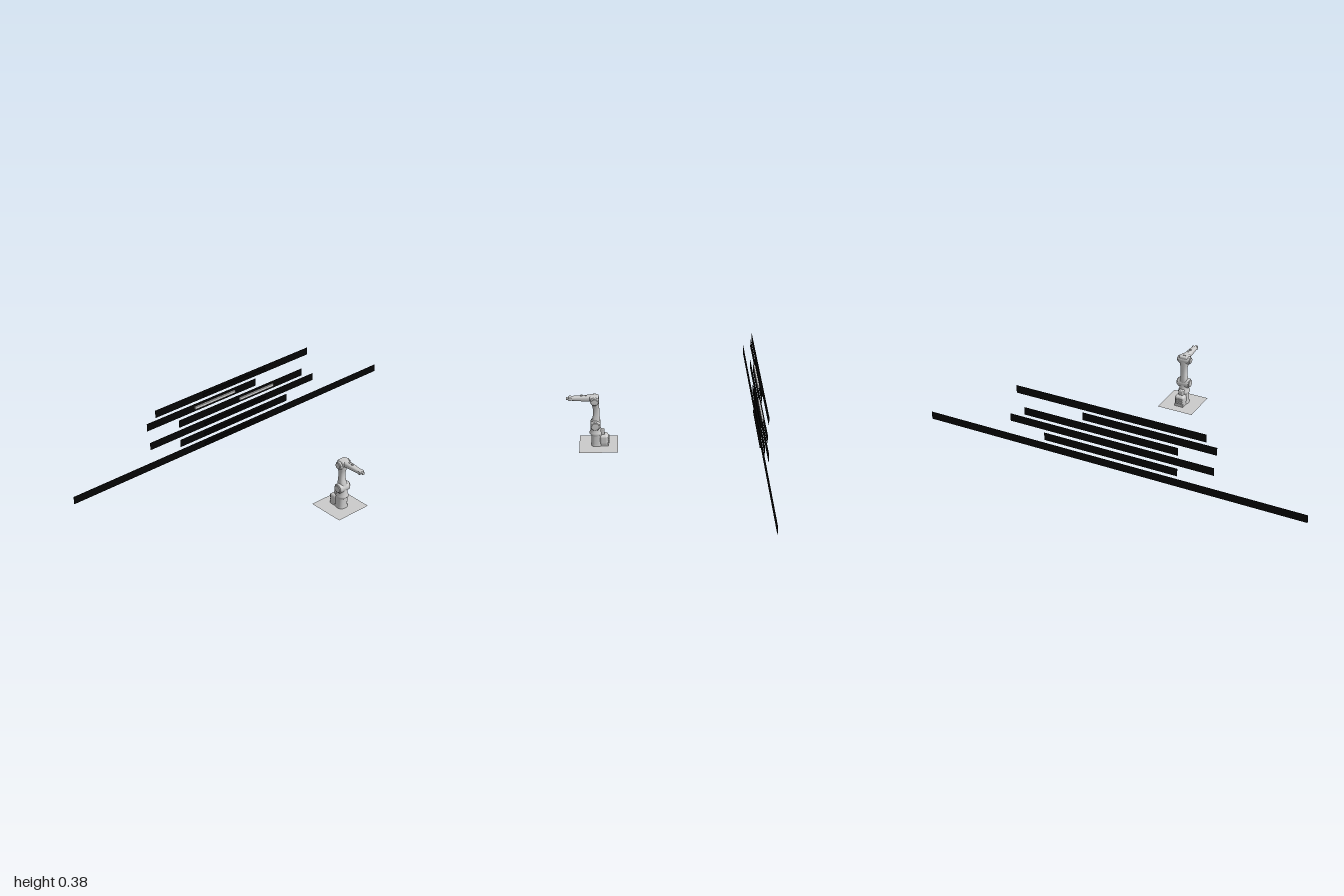
import * as THREE from 'three';
import { RoundedBoxGeometry } from 'three/addons/geometries/RoundedBoxGeometry.js';

const grey = new THREE.MeshStandardMaterial({ color: 0xcccccc });
const greySheet = new THREE.MeshStandardMaterial({ color: 0xcccccc, side: THREE.DoubleSide });
const black = new THREE.MeshStandardMaterial({ color: 0x050505 });

function add(parent, name, geometry, x, y, z, material = grey) {
  const mesh = new THREE.Mesh(geometry, material);
  mesh.name = name;
  mesh.position.set(x, y, z);
  parent.add(mesh);
  return mesh;
}

// Closed tube of rounded-square sections [height, shift, halfWidth, halfDepth] stacked along y.
function loft(rows, power = 0.75, sides = 28) {
  const pos = [], index = [];
  const first = rows[0], last = rows[rows.length - 1];
  const capped = [[first[0], first[1], 0, 0], first, ...rows, last, [last[0], last[1], 0, 0]];
  const bend = (v) => Math.sign(v) * Math.abs(v) ** power;
  capped.forEach(([y, shift, hw, hd], r) => {
    for (let i = 0; i < sides; i++) {
      const a = (i / sides) * Math.PI * 2;
      pos.push(hw * bend(Math.sin(a)), y, shift + hd * bend(Math.cos(a)));
      // The doubled end rows keep the cap edges sharp.
      if (r === 0 || r === 2 || r === capped.length - 1) {
        if (r !== capped.length - 1) continue;
      }
    }
  });
  for (let r = 0; r < capped.length - 1; r++) {
    if (r === 1 || r === capped.length - 3) continue;
    for (let i = 0; i < sides; i++) {
      const j = (i + 1) % sides;
      const a = r * sides + i, b = r * sides + j, c = a + sides, d = b + sides;
      index.push(a, b, d, a, d, c);
    }
  }
  const g = new THREE.BufferGeometry();
  g.setAttribute('position', new THREE.Float32BufferAttribute(pos, 3));
  g.setIndex(index);
  g.computeVertexNormals();
  return g;
}

// Bevelled drum lying along x.
function drum(radius, halfLength, bevel = 0.004) {
  const p = [[0, -halfLength], [radius - bevel, -halfLength], [radius, bevel - halfLength],
    [radius, halfLength - bevel], [radius - bevel, halfLength], [0, halfLength]];
  return new THREE.LatheGeometry(p.map(([x, y]) => new THREE.Vector2(x, y)), 32).rotateZ(-Math.PI / 2);
}

function makeRobot() {
  const robot = new THREE.Group();
  robot.name = 'robotArm';

  // Pedestal and turret
  add(robot, 'pedestal', loft([[0, 0.327, 0.028, 0.027], [0.008, 0.327, 0.028, 0.027],
    [0.012, 0.327, 0.026, 0.026], [0.058, 0.327, 0.026, 0.026]]), 0, 0, 0);
  add(robot, 'turret', loft([[0.056, 0.329, 0.026, 0.027], [0.064, 0.331, 0.029, 0.031],
    [0.07, 0.331, 0.028, 0.031], [0.08, 0.331, 0.024, 0.026], [0.112, 0.331, 0.021, 0.023]], 0.9), 0, 0, 0);

  // Connector housing at the back
  add(robot, 'rearHousing', new RoundedBoxGeometry(0.052, 0.054, 0.044, 4, 0.013), 0, 0.032, 0.292);
  add(robot, 'rearFoot', new THREE.BoxGeometry(0.046, 0.012, 0.036), 0, 0.007, 0.288);
  for (const x of [-0.014, 0, 0.014]) {
    for (const y of [0.018, 0.03, 0.042]) {
      add(robot, 'connector', new THREE.CylinderGeometry(0.004, 0.004, 0.012, 12).rotateX(Math.PI / 2), x, y, 0.27);
    }
  }
  add(robot, 'turretMotor', new RoundedBoxGeometry(0.026, 0.028, 0.026, 2, 0.005), 0, 0.07, 0.301);

  // Shoulder
  add(robot, 'shoulder', drum(0.025, 0.031), 0, 0.113, 0.332);
  for (const s of [-1, 1]) add(robot, 'shoulderCap', drum(0.018, 0.003, 0.001), s * 0.033, 0.113, 0.332);

  // Upper arm
  add(robot, 'upperArm', loft([[0.1, 0.332, 0.022, 0.022], [0.125, 0.331, 0.022, 0.023],
    [0.148, 0.328, 0.018, 0.018], [0.17, 0.327, 0.016, 0.0155], [0.19, 0.327, 0.016, 0.015],
    [0.21, 0.329, 0.019, 0.017], [0.228, 0.332, 0.024, 0.019], [0.245, 0.333, 0.024, 0.019]]), 0, 0, 0);

  // Elbow
  add(robot, 'elbow', drum(0.021, 0.031), 0, 0.244, 0.334);
  for (const s of [-1, 1]) add(robot, 'elbowCap', drum(0.015, 0.003, 0.001), s * 0.033, 0.244, 0.334);
  add(robot, 'elbowHousing', new RoundedBoxGeometry(0.046, 0.03, 0.044, 3, 0.008), 0, 0.253, 0.337);

  // Forearm: lofted upright, then laid forward along z
  add(robot, 'forearm', loft([[0.33, -0.254, 0.02, 0.016], [0.36, -0.2535, 0.018, 0.015],
    [0.4, -0.253, 0.016, 0.0135], [0.435, -0.253, 0.014, 0.011], [0.456, -0.253, 0.013, 0.01]])
    .rotateX(Math.PI / 2), 0, 0, 0);
  add(robot, 'wrist', drum(0.0095, 0.014, 0.002), 0, 0.253, 0.454);
  add(robot, 'toolFlange', new THREE.CylinderGeometry(0.0075, 0.0075, 0.016, 24).rotateX(Math.PI / 2), 0, 0.253, 0.465);
  add(robot, 'forearmFitting', new RoundedBoxGeometry(0.012, 0.008, 0.01, 2, 0.002), 0, 0.268, 0.398);
  add(robot, 'forearmFitting', new RoundedBoxGeometry(0.008, 0.006, 0.008, 2, 0.002), 0, 0.267, 0.376);
  return robot;
}

export function createModel() {
  const model = new THREE.Group();
  model.name = 'robotScene';

  const plate = add(model, 'floorPlate', new THREE.PlaneGeometry(0.19, 0.19), 0, 0.001, 0.318, greySheet);
  plate.rotation.x = -Math.PI / 2;
  model.add(makeRobot());

  // Back panels [left x, right x, centre y] and their thin strips [left x, right x]
  const rows = [
    [-1, 1, 0.076, -0.2, 0.2, black],
    [-0.353, 0.353, 0.133, -0.2, 0.2, black],
    [-0.538, 0.538, 0.19, -0.2, 0.2, black],
    [-0.356, 0.457, 0.246, 0.03, 0.257, grey],
    [-0.551, 0.14, 0.302, -0.257, 0, grey],
    [-0.497, 0.495, 0.357, -0.2, 0.2, black],
  ];
  for (const [x0, x1, y, s0, s1, material] of rows) {
    add(model, 'panel', new THREE.BoxGeometry(x1 - x0, 0.04, 0.002), (x0 + x1) / 2, y, -0.472, black);
    add(model, 'panelStrip', new THREE.BoxGeometry(s1 - s0, 0.013, 0.008), (s0 + s1) / 2, y, -0.467, material);
  }
  return model;
}
